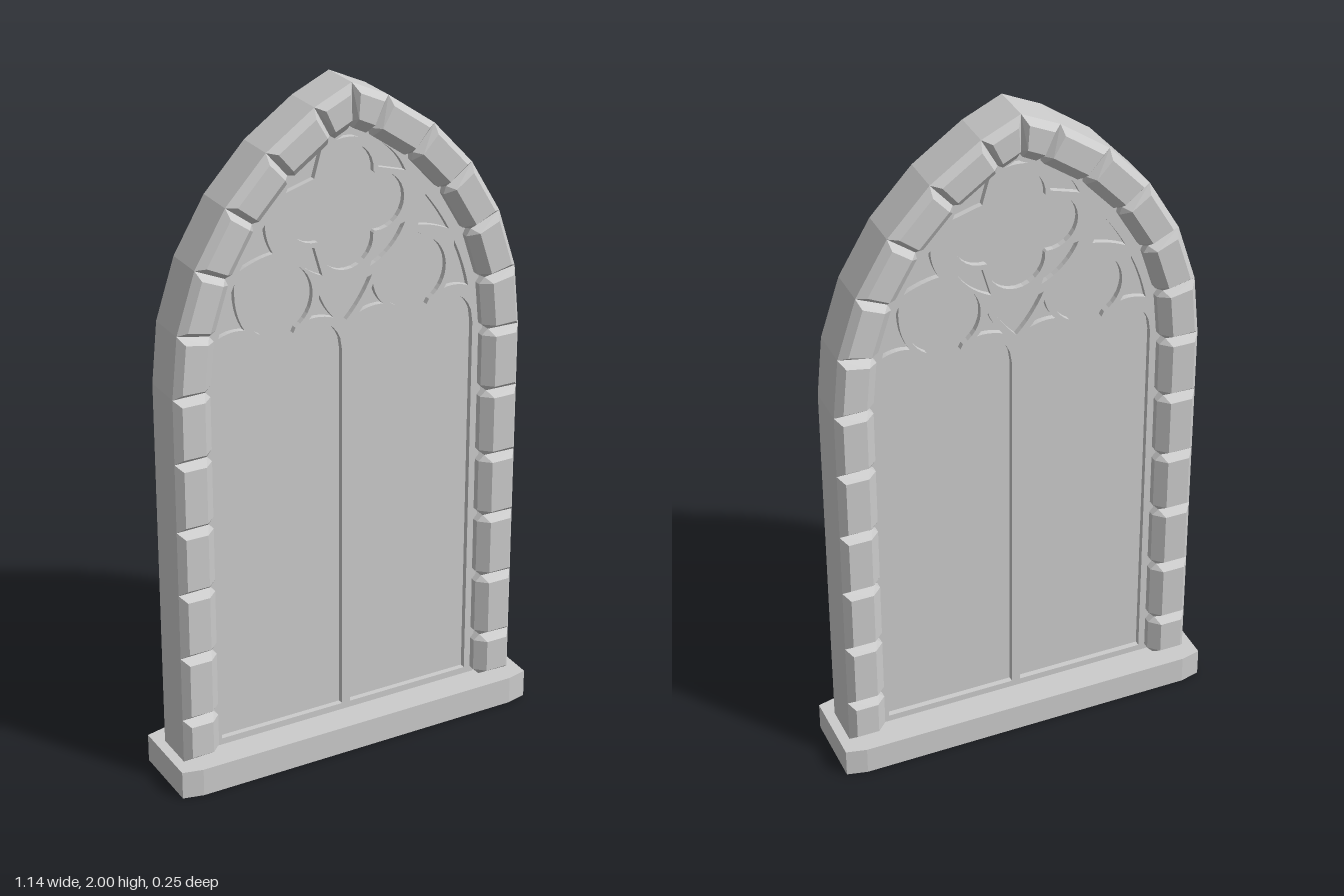
import * as THREE from 'three';
import { ConvexGeometry } from 'three/addons/geometries/ConvexGeometry.js';

// Both halves of the pointed arch are arcs; this is the centre of the +x one.
const CX = -0.293, CY = 1.22, R_OUT = 0.833, R_IN = 0.718, R_PANEL = 0.73;
const mat = () => new THREE.MeshStandardMaterial({ color: 0xcccccc, flatShading: true });
const V2 = (x, y) => new THREE.Vector2(x, y);

function extrude(name, shape, depth) {
  const geo = new THREE.ExtrudeGeometry(shape, { depth, bevelEnabled: false, curveSegments: 10 });
  geo.translate(0, 0, -depth / 2);
  const mesh = new THREE.Mesh(geo, mat());
  mesh.name = name;
  return mesh;
}

// Points along a circular arc, angles in degrees.
function arc(cx, cy, r, from, to, n = 10) {
  return Array.from({ length: n + 1 }, (_, i) => {
    const a = THREE.MathUtils.degToRad(from + (to - from) * i / n);
    return V2(cx + r * Math.cos(a), cy + r * Math.sin(a));
  });
}

// Closed outline from start point and quadratic sides [controlX, controlY, x, y].
function curved(x, y, sides) {
  const p = new THREE.Path();
  p.moveTo(x, y);
  sides.forEach(s => p.quadraticCurveTo(...s));
  return p.getPoints(6).slice(0, -1);
}
const mirror = pts => pts.map(p => V2(-p.x, p.y)).reverse();

// Pointed-arch outline of the infill panel.
function archShape(r) {
  const half = CX + r;
  const top = THREE.MathUtils.radToDeg(Math.acos(-CX / r));
  const right = [V2(half, 0.08), ...arc(CX, CY, r, 0, top, 14)];
  return new THREE.Shape([...right, ...mirror(right).slice(1)]);
}

// One lancet light, opening through two cusps into a pointed foil.
function lancet() {
  const cx = 0.209, cy = 1.42;
  const half = [
    V2(cx + 0.196, 0.105), V2(cx + 0.196, 1.23),
    ...new THREE.QuadraticBezierCurve(V2(cx + 0.19, 1.27), V2(cx + 0.165, 1.335), V2(cx + 0.09, 1.335)).getPoints(6),
    V2(cx + 0.045, 1.315),
    ...arc(cx, cy, 0.105, -60, 50, 12),
    V2(cx + 0.035, 1.518), V2(cx, 1.545),
  ];
  const other = half.slice(0, -1).map(p => V2(2 * cx - p.x, p.y)).reverse();
  return [...half, ...other];
}

function traceryHoles() {
  const holes = [];
  const both = pts => holes.push(pts, mirror(pts));
  both(lancet());

  // Curved triangles outside the foils, beside the mullion and under the arch
  both(curved(0.388, 1.345, [[0.372, 1.42, 0.338, 1.49], [0.345, 1.41, 0.31, 1.352], [0.345, 1.362, 0.388, 1.345]]));
  both(curved(0.04, 1.335, [[0.07, 1.37, 0.083, 1.41], [0.09, 1.37, 0.115, 1.345], [0.08, 1.35, 0.04, 1.335]]));
  both(curved(0.322, 1.525, [[0.29, 1.585, 0.245, 1.64], [0.245, 1.595, 0.222, 1.555], [0.27, 1.55, 0.322, 1.525]]));
  // Triangle between the foils, and the small one at the apex
  holes.push(curved(0, 1.32, [[0.05, 1.37, 0.08, 1.438], [0, 1.405, -0.08, 1.438], [-0.05, 1.37, 0, 1.32]]));
  holes.push(curved(0.035, 1.838, [[0.015, 1.845, 0, 1.856], [-0.015, 1.845, -0.035, 1.838], [0, 1.846, 0.035, 1.838]]));

  // Quatrefoil and the four spandrels of its roundel
  const qy = 1.645, foil = [];
  const polar = (r, deg) => arc(0, qy, r, deg, deg, 1)[0];
  for (let k = 0; k < 4; k++) {
    const dir = k * 90;
    const c = polar(0.095, dir);
    foil.push(...arc(c.x, c.y, 0.083, dir - 95, dir + 95, 14));
    const tip = polar(0.138, dir + 45), a = polar(0.16, dir + 57), b = polar(0.16, dir + 33);
    holes.push([...arc(0, qy, 0.196, dir + 22, dir + 68, 8), a, tip, b]);
  }
  holes.push(foil);
  return holes;
}

// Bevelled stone: a, b on the outer edge, d, c opposite them on the inner edge.
function stone(a, b, c, d) {
  const at = (u, v, z) => {
    const p = a.clone().lerp(b, u).lerp(d.clone().lerp(c, u), v);
    return new THREE.Vector3(p.x, p.y, z);
  };
  const e = 0.018 / a.distanceTo(b);
  const pts = [];
  for (const s of [-1, 1]) {
    // Full outline at the shoulders, inset outline on the face
    for (const u of [0, 1]) {
      const inset = u ? 1 - e : e;
      pts.push(at(u, 0, s * 0.062), at(u, 0.85, s * 0.058), at(inset, 1, s * 0.055));
      pts.push(at(inset, 0.16, s * 0.084), at(inset, 0.74, s * 0.084));
    }
  }
  return new ConvexGeometry(pts);
}

export function createModel() {
  const model = new THREE.Group();

  // Sill slab with clipped corners
  const q = [V2(0.57, 0.113), V2(0.51, 0.127)];
  const front = [...q, ...mirror(q)];
  const plan = [...front, ...front.map(p => V2(p.x, -p.y)).reverse()];
  const sill = extrude('sill', new THREE.Shape(plan), 0.085);
  sill.rotation.x = -Math.PI / 2;
  sill.position.y = 0.0425;
  model.add(sill);

  // Stone surround: joints up the jamb, then around the arch to the apex
  const joints = [0.085, 0.22, 0.42, 0.62, 0.815, 1.02, 1.21].map(y => [V2(CX + R_OUT, y), V2(CX + R_IN, y)]);
  for (const deg of [11.7, 24.3, 36.8, 49, 61]) {
    joints.push([R_OUT, R_IN].map(r => arc(CX, CY, r, deg, deg, 1)[0]));
  }
  joints.push([R_OUT, R_IN].map(r => V2(0, CY + Math.sqrt(r * r - CX * CX))));
  for (const side of [1, -1]) {
    const surround = new THREE.Group();
    surround.name = side > 0 ? 'leftSurround' : 'rightSurround';
    const flip = p => V2(p.x * side, p.y);
    for (let i = 0; i < joints.length - 1; i++) {
      const [a, d] = joints[i].map(flip), [b, c] = joints[i + 1].map(flip);
      const mesh = new THREE.Mesh(stone(a, b, c, d), mat());
      mesh.name = i < 6 ? 'jambStone' : 'archStone';
      surround.add(mesh);
    }
    model.add(surround);
  }

  // Pierced tracery over a thinner pane, visible from both sides
  const shape = archShape(R_PANEL);
  shape.holes = traceryHoles().map(pts => new THREE.Path(pts));
  model.add(extrude('tracery', shape, 0.07));
  model.add(extrude('pane', archShape(R_PANEL - 0.005), 0.036));

  return model;
}
